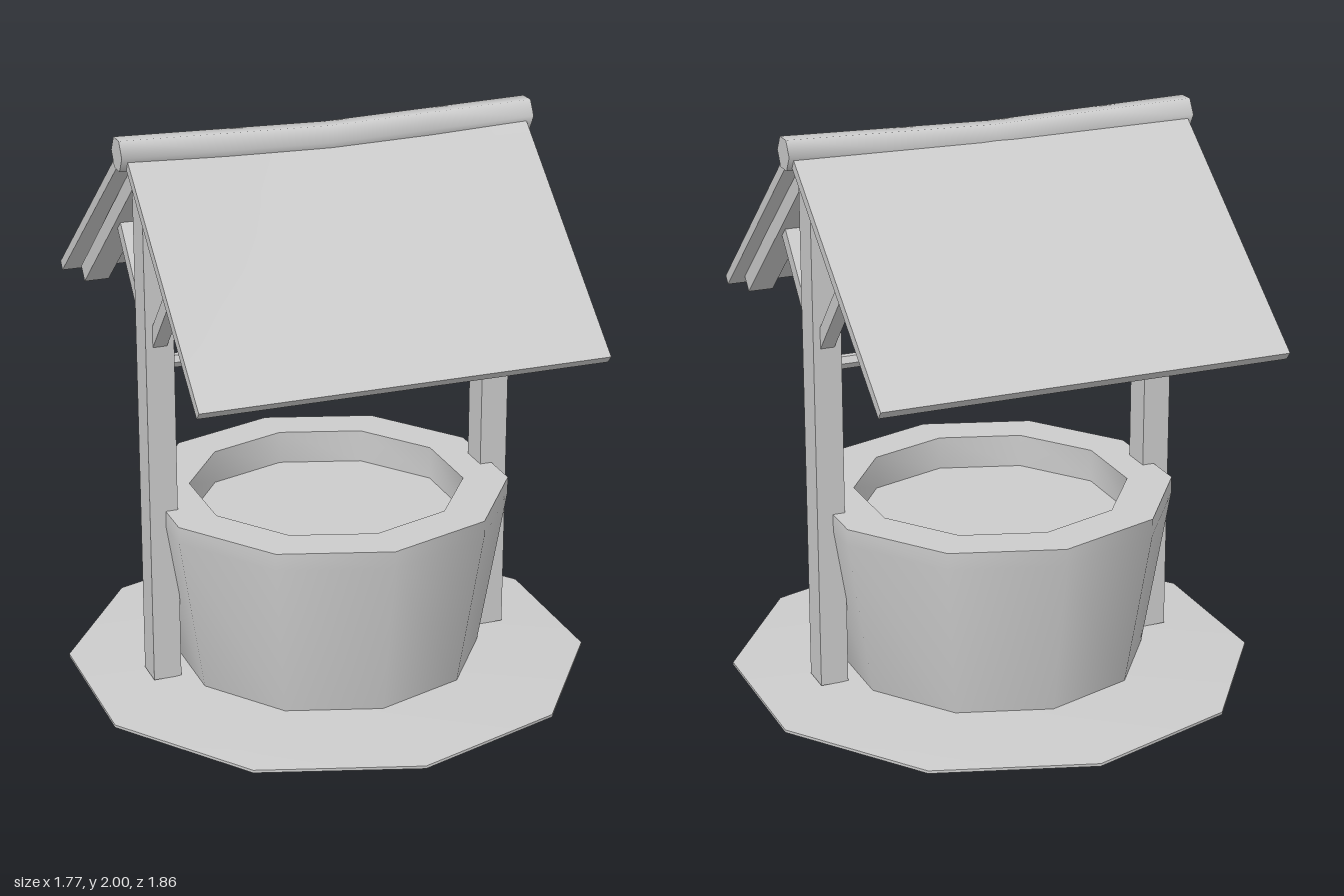
import * as THREE from 'three';
import { toCreasedNormals } from 'three/addons/utils/BufferGeometryUtils.js';

const material = new THREE.MeshStandardMaterial({ color: 0xcccccc });

function addMesh(parent, name, geometry) {
  const mesh = new THREE.Mesh(geometry, material);
  mesh.name = name;
  parent.add(mesh);
  return mesh;
}

// Ten-sided turned shape, smooth around and sharp at the profile corners
function turned(points) {
  const profile = points.map(([r, y]) => new THREE.Vector2(r, y));
  return toCreasedNormals(new THREE.LatheGeometry(profile, 10), Math.PI / 4.5);
}

// Straight beam between two [z, y] points; sag lowers the middle of its first end
function beam(parent, name, x, width, thickness, [z0, y0], [z1, y1], sag = 0) {
  const length = Math.hypot(z1 - z0, y1 - y0);
  const geometry = new THREE.BoxGeometry(width, thickness, length, 4, 1, 4);
  const pos = geometry.attributes.position;
  for (let i = 0; i < pos.count; i++) {
    const across = 1 - (2 * pos.getX(i) / width) ** 2;
    const along = 0.5 - pos.getZ(i) / length;
    pos.setY(i, pos.getY(i) - sag * across * along);
  }
  const mesh = addMesh(parent, name, toCreasedNormals(geometry, 0.6));
  mesh.position.set(x, (y0 + y1) / 2, (z0 + z1) / 2);
  mesh.rotation.x = Math.atan2(y0 - y1, z1 - z0);
  return mesh;
}

export function createModel() {
  const well = new THREE.Group();
  well.name = 'well';

  // Low sloping ground slab
  addMesh(well, 'ground', turned([[0, 0], [0.93, 0], [0.93, 0.01], [0.55, 0.035], [0, 0.035]]));

  // Flared basin with an upright rim and a recessed inside
  addMesh(well, 'basin', turned([
    [0.545, 0.02], [0.645, 0.61], [0.645, 0.67], [0.485, 0.67], [0.485, 0.55], [0, 0.55],
  ]));

  // Bar between the posts
  const bar = addMesh(well, 'crossbar',
    toCreasedNormals(new THREE.CylinderGeometry(0.025, 0.025, 1.16, 6), 0.6));
  bar.rotation.z = Math.PI / 2;
  bar.position.y = 1.2;

  // Posts with their rafters and braces
  for (const side of [1, -1]) {
    const frame = new THREE.Group();
    frame.name = side > 0 ? 'leftFrame' : 'rightFrame';
    well.add(frame);
    const x = side * 0.62;
    const post = addMesh(frame, 'post', new THREE.BoxGeometry(0.1, 1.87, 0.11));
    post.position.set(x, 0.965, 0);
    beam(frame, 'frontRafter', x, 0.09, 0.06, [0.02, 1.875], [0.67, 1.295]);
    beam(frame, 'backRafter', x, 0.09, 0.06, [-0.02, 1.875], [-0.72, 1.295]);
    for (const z of [1, -1]) {
      beam(frame, 'brace', x, 0.05, 0.05, [z * 0.03, 1.285], [z * 0.32, 1.61]);
    }
  }

  // Roof panels, sagging slightly at the ridge
  beam(well, 'frontRoof', 0, 1.43, 0.035, [0.01, 1.945], [0.747, 1.294], 0.02);
  const back = beam(well, 'backRoof', 0, 1.44, 0.035, [-0.01, 1.94], [-0.808, 1.305]);
  back.rotation.z = 0;

  // Six-sided ridge cap with a sagging middle
  const capGeometry = new THREE.CylinderGeometry(0.06, 0.06, 1.475, 6, 4);
  capGeometry.rotateZ(Math.PI / 2);
  const pos = capGeometry.attributes.position;
  for (let i = 0; i < pos.count; i++) {
    pos.setY(i, pos.getY(i) - 0.02 * (1 - Math.abs(pos.getX(i)) / 0.7375));
  }
  const cap = addMesh(well, 'ridgeCap', toCreasedNormals(capGeometry, 1.1));
  cap.position.set(0, 1.945, 0.005);

  return well;
}
